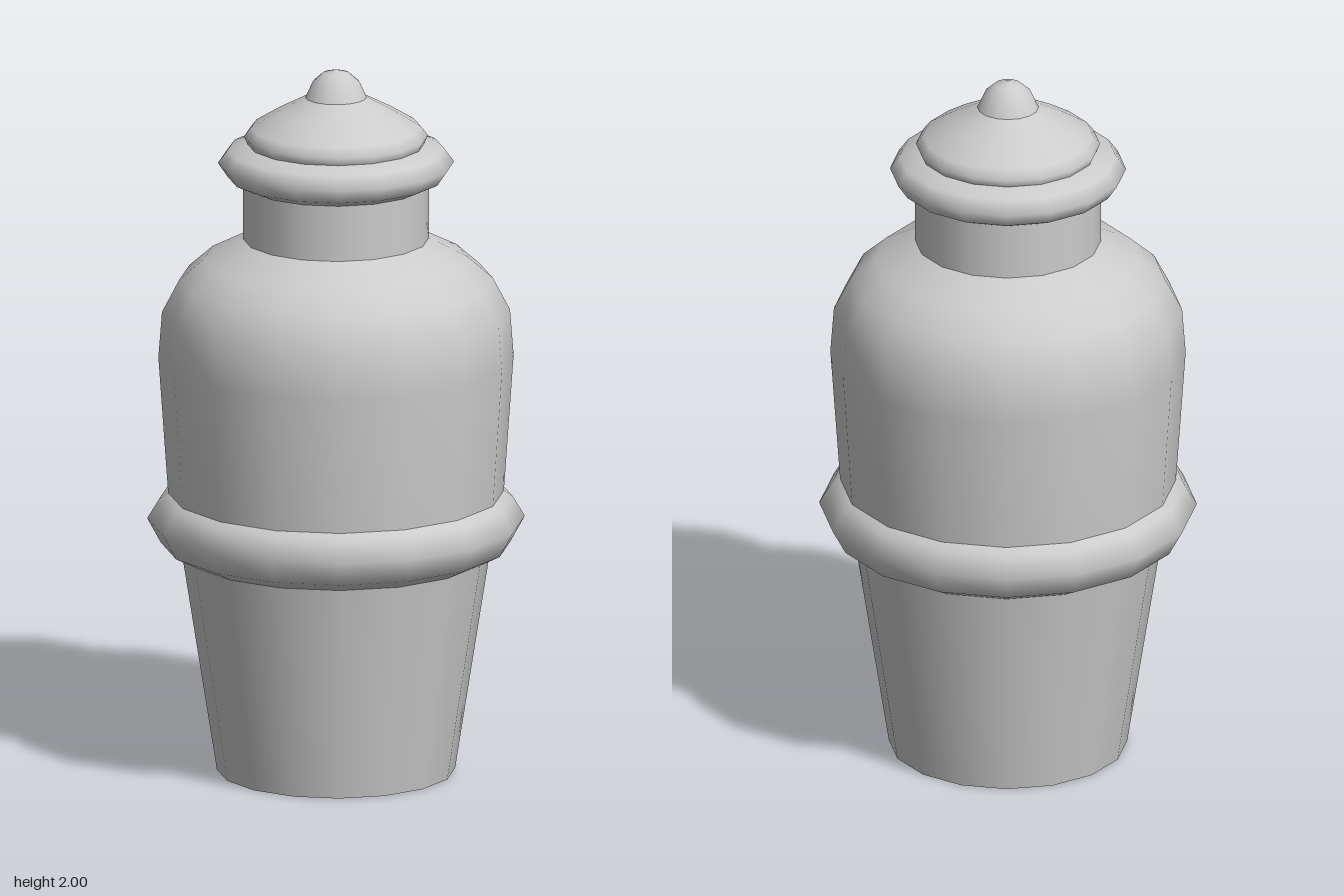
import * as THREE from 'three';

const SIDES = 16;

// Each part is a smooth turned section: [radius, height] from bottom to top.
const PARTS = {
  taperedBase: [[0.33, 0], [0.427, 0.62]],
  waistBand: [[0.427, 0.62], [0.485, 0.65], [0.523, 0.72], [0.49, 0.775], [0.465, 0.793]],
  body: [[0.465, 0.793], [0.492, 1.18], [0.482, 1.31], [0.435, 1.4], [0.365, 1.462], [0.257, 1.517]],
  neck: [[0.257, 1.517], [0.257, 1.675]],
  lidRim: [[0.257, 1.675], [0.3, 1.695], [0.327, 1.735], [0.3, 1.772], [0.245, 1.788]],
  lidDome: [[0.245, 1.788], [0.255, 1.81], [0.235, 1.836], [0.165, 1.879], [0.085, 1.921]],
  knob: [[0.085, 1.921], [0.065, 1.965], [0.037, 1.99], [0, 2]],
};

export function createModel() {
  const group = new THREE.Group();
  const material = new THREE.MeshStandardMaterial({ color: 0xcccccc });

  for (const [name, profile] of Object.entries(PARTS)) {
    const points = profile.map(([r, y]) => new THREE.Vector2(r, y));
    const mesh = new THREE.Mesh(new THREE.LatheGeometry(points, SIDES), material);
    mesh.name = name;
    group.add(mesh);
  }

  // Flat underside, its corners lined up with the turned sections
  const underside = new THREE.Mesh(new THREE.CircleGeometry(0.33, SIDES), material);
  underside.rotation.x = Math.PI / 2;
  underside.name = 'underside';
  group.add(underside);

  return group;
}
